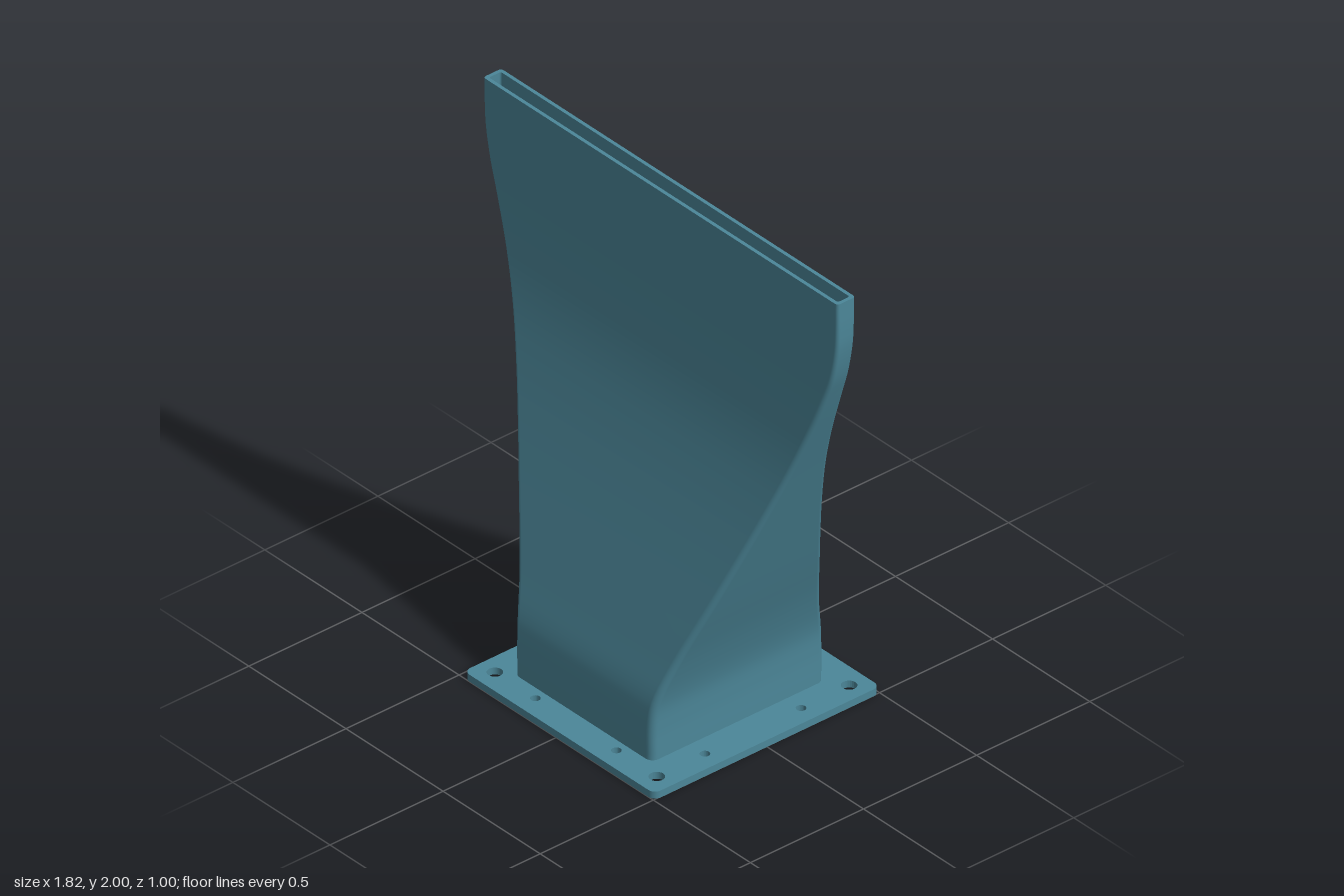
import * as THREE from 'three';

const FLANGE = 0.028; // flange thickness
const WALL = 0.014;   // duct wall thickness

// Duct half width, height and half depth, from the inlet up to the slot
const profile = new THREE.CatmullRomCurve3([
  [0.355, FLANGE, 0.383], [0.355, 0.15, 0.383], [0.363, 0.25, 0.373],
  [0.408, 0.41, 0.325], [0.499, 0.65, 0.25], [0.574, 0.85, 0.189],
  [0.641, 1.03, 0.138], [0.712, 1.22, 0.092], [0.78, 1.4, 0.062],
  [0.847, 1.58, 0.046], [0.884, 1.69, 0.041], [0.907, 1.81, 0.04],
  [0.912, 1.9, 0.04], [0.912, 2, 0.04],
].map((p) => new THREE.Vector3(...p)));

// Rounded rectangle cross-section as a ring of points
function ring(hw, y, hd, r) {
  const pts = [];
  const steps = 6;
  for (let q = 0; q < 4; q++) {
    const sx = q === 0 || q === 3 ? 1 : -1;
    const sz = q < 2 ? 1 : -1;
    for (let i = 0; i <= steps; i++) {
      const a = (q + i / steps) * Math.PI / 2;
      pts.push(new THREE.Vector3(
        sx * (hw - r) + r * Math.cos(a), y, sz * (hd - r) + r * Math.sin(a)));
    }
  }
  return pts;
}

// Skin a sequence of rings
function loft(rings) {
  const n = rings[0].length;
  const index = [];
  for (let k = 0; k < rings.length - 1; k++) {
    for (let j = 0; j < n; j++) {
      const a = k * n + j, b = k * n + (j + 1) % n;
      index.push(a, a + n, b, b, a + n, b + n);
    }
  }
  const geo = new THREE.BufferGeometry().setFromPoints(rings.flat());
  geo.setIndex(index);
  geo.computeVertexNormals();
  return geo;
}

function circle(x, y, r) {
  return new THREE.Path().absarc(x, y, r, 0, Math.PI * 2, true);
}

export function createModel() {
  const group = new THREE.Group();
  const steel = new THREE.MeshStandardMaterial({ color: 0x4c8799 });
  steel.name = 'blue grey paint';
  const add = (name, geo) => {
    const mesh = new THREE.Mesh(geo, steel);
    mesh.name = name;
    group.add(mesh);
  };

  // Duct: outer skin, inner skin and the slot rim joining them
  const outer = [], inner = [];
  const rows = 64;
  for (let i = 0; i <= rows; i++) {
    const t = i / rows;
    const p = profile.getPoint(t);
    const r = THREE.MathUtils.lerp(0.03, 0.012, t);
    outer.push(ring(p.x, p.y, p.z, r));
    inner.push(ring(p.x - WALL, p.y, p.z - WALL, r * 0.6));
  }
  add('ductOuterSkin', loft(outer));
  add('ductInnerSkin', loft([...inner].reverse()));
  add('slotRim', loft([outer[rows], inner[rows]]));

  // Flange: rounded plate, slightly offset in x, with the duct opening
  const [x0, x1, d, c] = [-0.476, 0.504, 0.5, 0.03];
  const plate = new THREE.Shape();
  plate.absarc(x1 - c, d - c, c, 0, Math.PI / 2);
  plate.absarc(x0 + c, d - c, c, Math.PI / 2, Math.PI);
  plate.absarc(x0 + c, -d + c, c, Math.PI, Math.PI * 1.5);
  plate.absarc(x1 - c, -d + c, c, Math.PI * 1.5, Math.PI * 2);
  plate.closePath();
  plate.holes.push(new THREE.Path(
    inner[0].map((p) => new THREE.Vector2(p.x, p.z)).reverse()));

  // Bolt holes: large at the corners, two small ones along each edge
  const cx = 0.014, hx = 0.417, hz = 0.425;
  for (const sx of [-1, 1]) {
    for (const sz of [-1, 1]) {
      plate.holes.push(
        circle(cx + sx * hx, sz * hz, 0.028),
        circle(cx + sx * hx / 2, sz * hz, 0.018),
        circle(cx + sx * hx, sz * hz / 2, 0.018));
    }
  }
  const flange = new THREE.ExtrudeGeometry(plate, {
    depth: FLANGE, bevelEnabled: false, curveSegments: 12,
  });
  flange.rotateX(-Math.PI / 2);
  add('mountingFlange', flange);

  return group;
}
